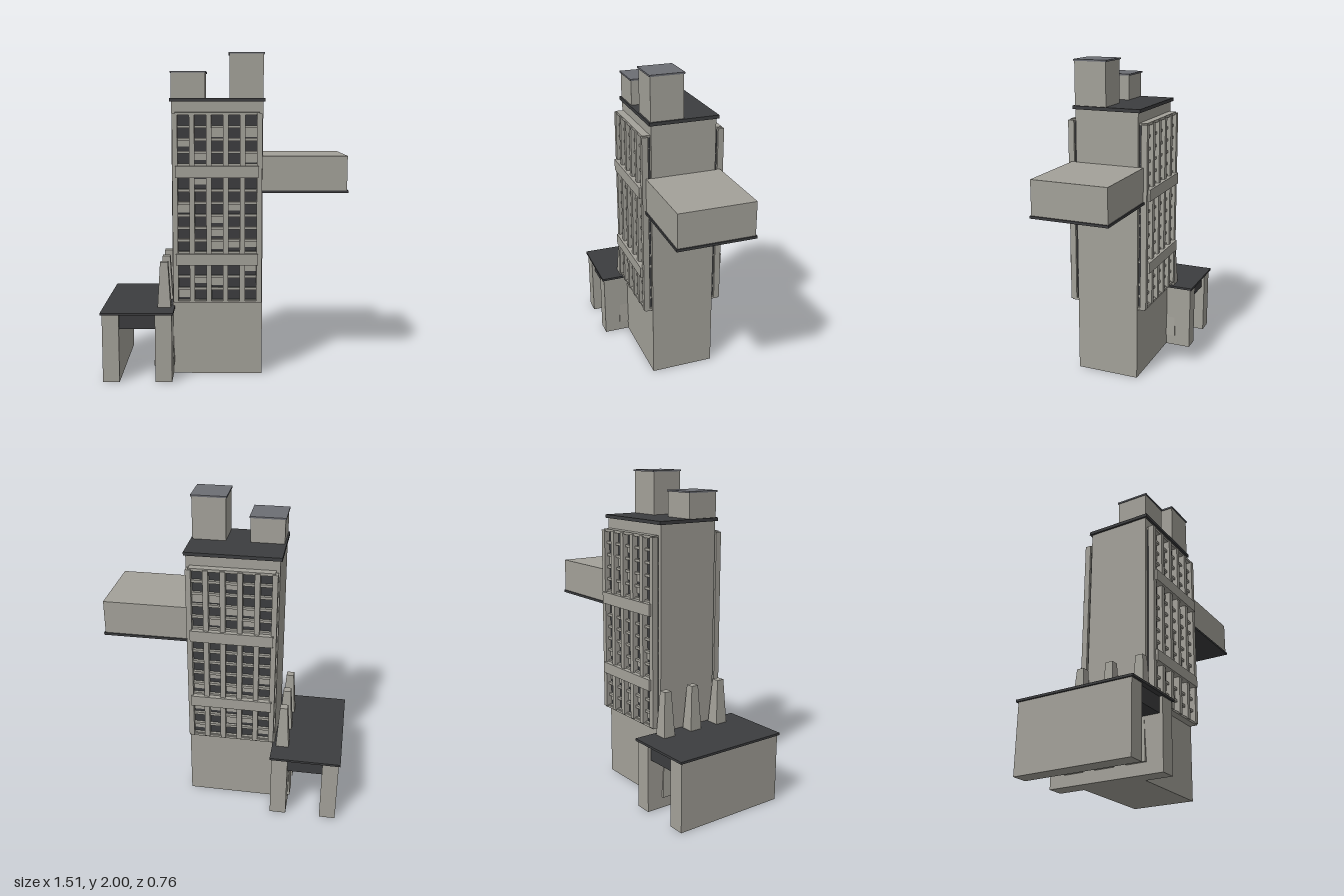
import * as THREE from 'three';

const concrete = new THREE.MeshStandardMaterial({ color: 0xa3a199, flatShading: true });
const dark = new THREE.MeshStandardMaterial({ color: 0x3c3d3f, flatShading: true });
const slate = new THREE.MeshStandardMaterial({ color: 0x6c6e74, flatShading: true });

// Box given by its limits on each axis
function box(parent, name, material, [x0, x1], [y0, y1], [z0, z1]) {
  const mesh = new THREE.Mesh(new THREE.BoxGeometry(x1 - x0, y1 - y0, z1 - z0), material);
  mesh.position.set((x0 + x1) / 2, (y0 + y1) / 2, (z0 + z1) / 2);
  mesh.name = name;
  parent.add(mesh);
  return mesh;
}

function seeded(seed) {
  return () => (seed = (seed * 16807) % 2147483647) / 2147483647;
}

// Window grid: sections are [bottom, top, rows]; bands are [bottom, top]
function makeFacade(name, sections, bands, side, seed) {
  const facade = new THREE.Group();
  facade.name = name;
  const random = seeded(seed);
  const z = (a, b) => (side > 0 ? [a, b] : [-b, -a]);
  const firstPier = -0.3, pitch = 0.1025, columns = 5;

  box(facade, 'windowGlass', dark, [-0.3, 0.213], [0.48, 1.63], z(0.2, 0.221));
  box(facade, 'windowHead', concrete, [-0.3, 0.213], [1.625, 1.642], z(0.2, 0.25));
  box(facade, 'windowSill', concrete, [-0.31, 0.225], [0.467, 0.482], z(0.2, 0.25));

  // Vertical piers
  for (let i = 0; i <= columns; i++) {
    const x = firstPier + i * pitch;
    box(facade, 'pier', concrete, [x - 0.016, x + 0.016], [0.475, 1.635], z(0.22, 0.258));
  }
  // Broad horizontal bands
  for (const band of bands) box(facade, 'band', concrete, [-0.298, 0.207], band, z(0.2, 0.272));

  // Ledges between storeys and blinds behind some panes
  for (const [bottom, top, rows] of sections) {
    const height = (top - bottom) / rows;
    for (let r = 0; r < rows; r++) {
      const y = bottom + r * height;
      box(facade, 'ledge', concrete, [-0.3, 0.213], [y - 0.008, y + 0.008], z(0.2, 0.24));
      for (let c = 0; c < columns; c++) {
        if (random() > 0.4) continue;
        const x = firstPier + c * pitch;
        const drop = (height - 0.016) * (0.5 + 0.4 * random());
        const yTop = y + height - 0.008;
        box(facade, 'blind', concrete, [x + 0.016, x + pitch - 0.016], [yTop - drop, yTop], z(0.215, 0.225));
      }
    }
  }
  return facade;
}

export function createModel() {
  const model = new THREE.Group();
  model.name = 'towerBuilding';

  // Main tower and roof slab
  box(model, 'tower', concrete, [-0.322, 0.235], [0, 1.708], [-0.203, 0.203]);
  box(model, 'towerRoof', dark, [-0.334, 0.246], [1.705, 1.726], [-0.217, 0.217]);

  // Rooftop blocks
  for (const [x0, x1, top] of [[-0.324, -0.117, 1.88], [0.03, 0.236, 1.992]]) {
    box(model, 'roofBlock', concrete, [x0, x1], [1.72, top], [0.003, 0.206]);
    box(model, 'roofBlockCap', slate, [x0 - 0.006, x1 + 0.006], [top - 0.002, top + 0.008], [-0.003, 0.212]);
  }

  // Cantilevered wing
  box(model, 'wing', concrete, [0.23, 0.747], [1.168, 1.38], [-0.236, 0.236]);
  box(model, 'wingFloor', dark, [0.228, 0.755], [1.155, 1.17], [-0.243, 0.243]);

  // Window grids, front and back
  model.add(makeFacade('frontFacade',
    [[0.479, 0.709, 3], [0.783, 1.246, 6], [1.325, 1.633, 4]],
    [[0.71, 0.78], [1.248, 1.32]], 1, 4711));
  model.add(makeFacade('backFacade',
    [[0.479, 0.709, 3], [0.783, 1.168, 5], [1.248, 1.633, 5]],
    [[0.71, 0.78], [1.17, 1.243]], -1, 1234));

  // Drive-through porch
  box(model, 'porchOuterWall', concrete, [-0.745, -0.643], [0, 0.428], [-0.37, 0.37]);
  box(model, 'porchInnerWall', concrete, [-0.423, -0.32], [0, 0.428], [-0.37, 0.37]);
  box(model, 'porchCeiling', dark, [-0.645, -0.421], [0.33, 0.428], [-0.35, 0.35]);
  box(model, 'porchRoof', dark, [-0.755, -0.31], [0.425, 0.439], [-0.382, 0.382]);

  // Tapered pylons rising through the porch roof
  const pylonGeometry = new THREE.CylinderGeometry(0.024 * Math.SQRT2, 0.063 * Math.SQRT2, 0.65, 4);
  pylonGeometry.rotateY(Math.PI / 4);
  for (const z of [-0.205, 0, 0.205]) {
    const pylon = new THREE.Mesh(pylonGeometry, concrete);
    pylon.name = 'pylon';
    pylon.position.set(-0.375, 0.395, z);
    model.add(pylon);
  }
  return model;
}
